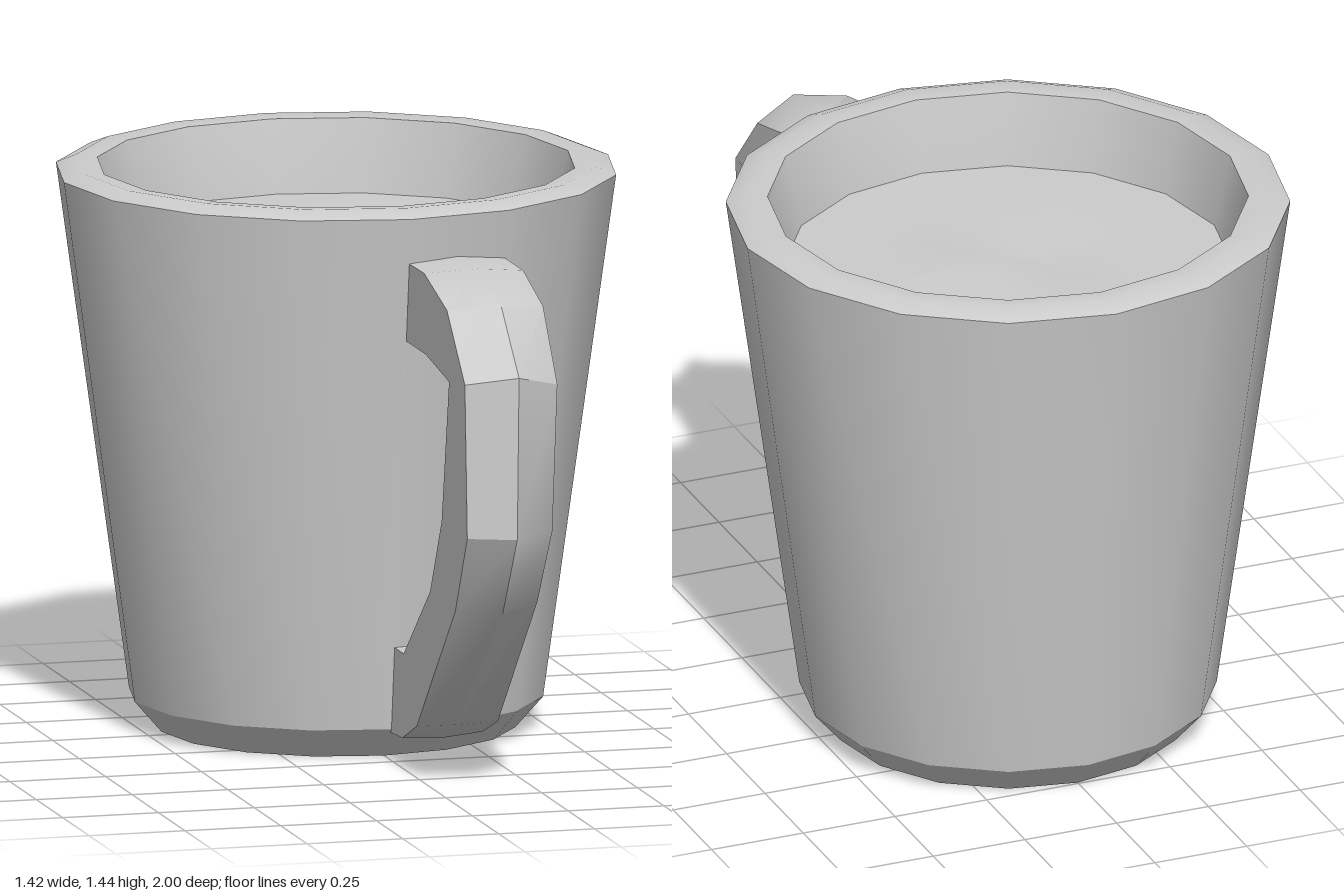
import * as THREE from 'three';
import { toCreasedNormals } from 'three/addons/utils/BufferGeometryUtils.js';

const SIDES = 16;
const CUP_Z = -0.29;
const CREASE = 0.52;

// Cup: one revolved profile, from the recessed underside over the rim to the inner floor
function cupGeometry() {
  const profile = [
    [0, 0.07], [0.375, 0.07], [0.395, 0], [0.455, 0], [0.525, 0.08], [0.71, 1.42],
    [0.66, 1.44], [0.605, 1.435], [0.56, 1.24], [0.44, 0.14], [0, 0.14],
  ].map(([r, y]) => new THREE.Vector2(r, y));
  return toCreasedNormals(new THREE.LatheGeometry(profile, SIDES), CREASE);
}

// Drink: disc with a very gentle swirl near its middle
function drinkGeometry() {
  const geo = new THREE.RingGeometry(0, 0.565, SIDES, 5);
  geo.rotateX(-Math.PI / 2);
  const p = geo.attributes.position;
  for (let i = 0; i < p.count; i++) {
    const x = p.getX(i), z = p.getZ(i);
    const fade = Math.max(0, 1 - Math.hypot(x, z) / 0.45);
    p.setY(i, 0.02 * fade * Math.sin(9 * x) * Math.cos(7 * z));
  }
  geo.computeVertexNormals();
  return geo;
}

// Handle: five-sided cross-sections with a ridge along the outside
function handleGeometry() {
  // inner z, y | outer right z, y | ridge z, y | width
  const stations = [
    [0.31, 1.10, 0.33, 1.295, 0.33, 1.31, 0.265],
    [0.56, 1.10, 0.52, 1.295, 0.57, 1.315, 0.265],
    [0.75, 1.075, 0.72, 1.24, 0.80, 1.26, 0.262],
    [0.78, 1.07, 0.88, 1.07, 0.98, 1.11, 0.255],
    [0.71, 0.70, 0.905, 0.70, 1.0, 0.70, 0.235],
    [0.60, 0.50, 0.80, 0.50, 0.88, 0.49, 0.225],
    [0.35, 0.295, 0.48, 0.135, 0.47, 0.13, 0.21],
    [0.29, 0.295, 0.35, 0.085, 0.33, 0.07, 0.205],
    [0.21, 0.295, 0.17, 0.07, 0.17, 0.065, 0.20],
  ];
  const sections = stations.map(([iz, iy, oz, oy, rz, ry, w]) => [
    [0, iy, iz], [w, iy, iz], [w, oy, oz], [w / 2, ry, rz],
    [0, (oy + ry) / 2, (oz + rz) / 2],
  ]);
  const pos = [];
  for (let s = 0; s < sections.length - 1; s++) {
    for (let j = 0; j < 5; j++) {
      const k = (j + 1) % 5;
      const a = sections[s][j], b = sections[s][k];
      const c = sections[s + 1][k], d = sections[s + 1][j];
      pos.push(...a, ...b, ...c, ...a, ...c, ...d);
    }
  }
  const geo = new THREE.BufferGeometry();
  geo.setAttribute('position', new THREE.Float32BufferAttribute(pos, 3));
  return toCreasedNormals(geo, CREASE);
}

export function createModel() {
  const group = new THREE.Group();
  group.name = 'mug';
  const grey = new THREE.MeshStandardMaterial({ color: 0xcccccc });
  grey.name = 'light grey';

  const add = (name, geometry, y = 0, z = 0) => {
    const mesh = new THREE.Mesh(geometry, grey);
    mesh.name = name;
    mesh.position.set(0, y, z);
    group.add(mesh);
  };
  add('cup', cupGeometry(), 0, CUP_Z);
  add('drink', drinkGeometry(), 1.25, CUP_Z);
  add('handle', handleGeometry());
  return group;
}
